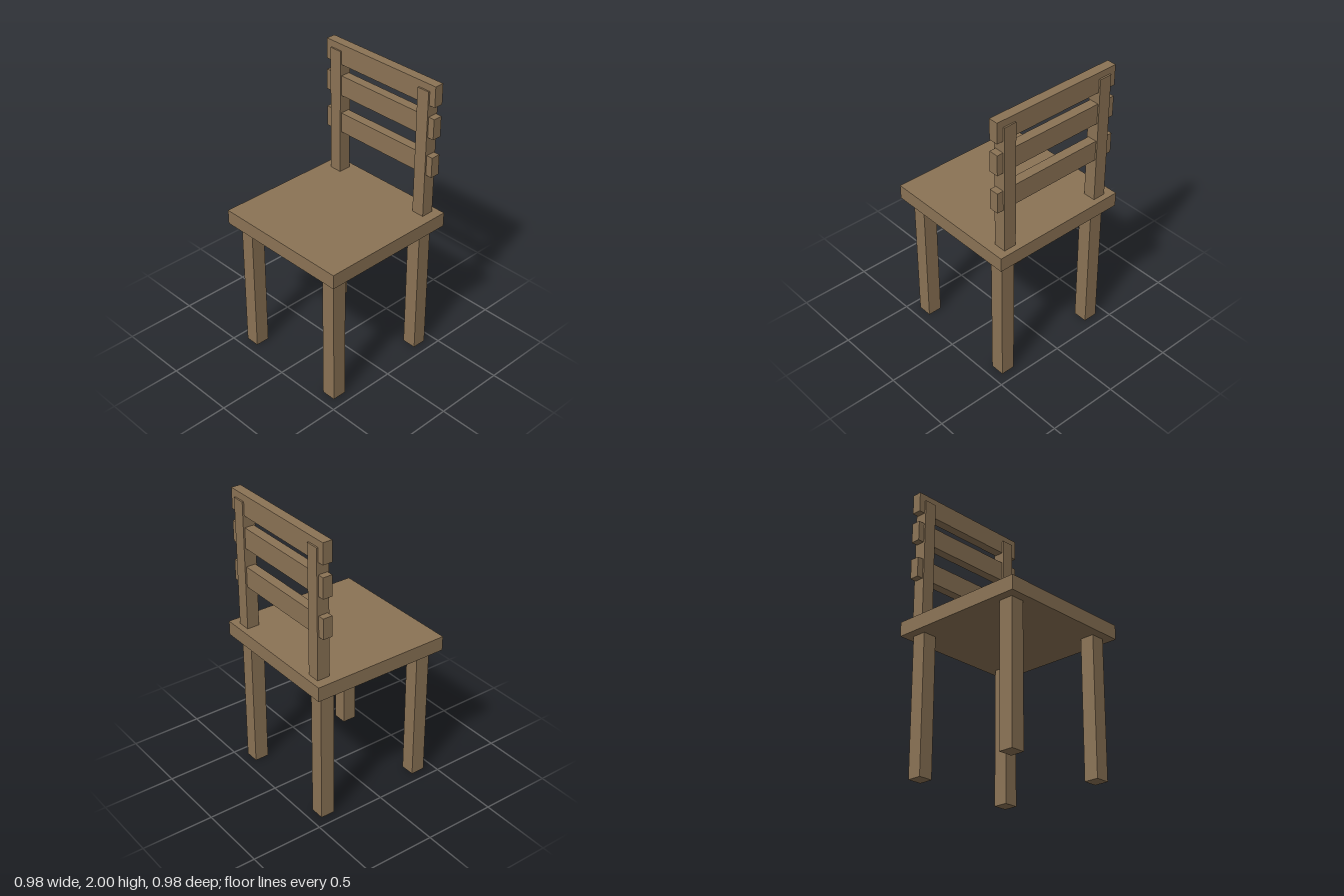
import * as THREE from 'three';

export function createModel() {
  const chair = new THREE.Group();
  chair.name = 'chair';
  const wood = new THREE.MeshStandardMaterial({ color: 0x8b7355 });
  wood.name = 'brown wood';

  // Box given by its size, horizontal centre and bottom height
  function board(name, w, h, d, x, bottom, z) {
    const mesh = new THREE.Mesh(new THREE.BoxGeometry(w, h, d), wood);
    mesh.name = name;
    mesh.position.set(x, bottom + h / 2, z);
    chair.add(mesh);
  }

  // Seat slab
  board('seat', 0.982, 0.1, 0.982, 0, 0.96, 0);

  for (const [side, sx] of [['left', 1], ['right', -1]]) {
    // Square legs
    board(side + 'FrontLeg', 0.1, 0.962, 0.1, sx * 0.381, 0, 0.381);
    board(side + 'BackLeg', 0.1, 0.962, 0.1, sx * 0.381, 0, -0.381);
    // Back posts
    board(side + 'BackPost', 0.09, 0.895, 0.088, sx * 0.38, 1.058, -0.405);
  }

  // Back slats, passing through the posts
  [1.365, 1.636, 1.858].forEach((y, i) => {
    board('backSlat' + (i + 1), 0.94, 0.142, 0.066, 0, y, -0.405);
  });

  return chair;
}
